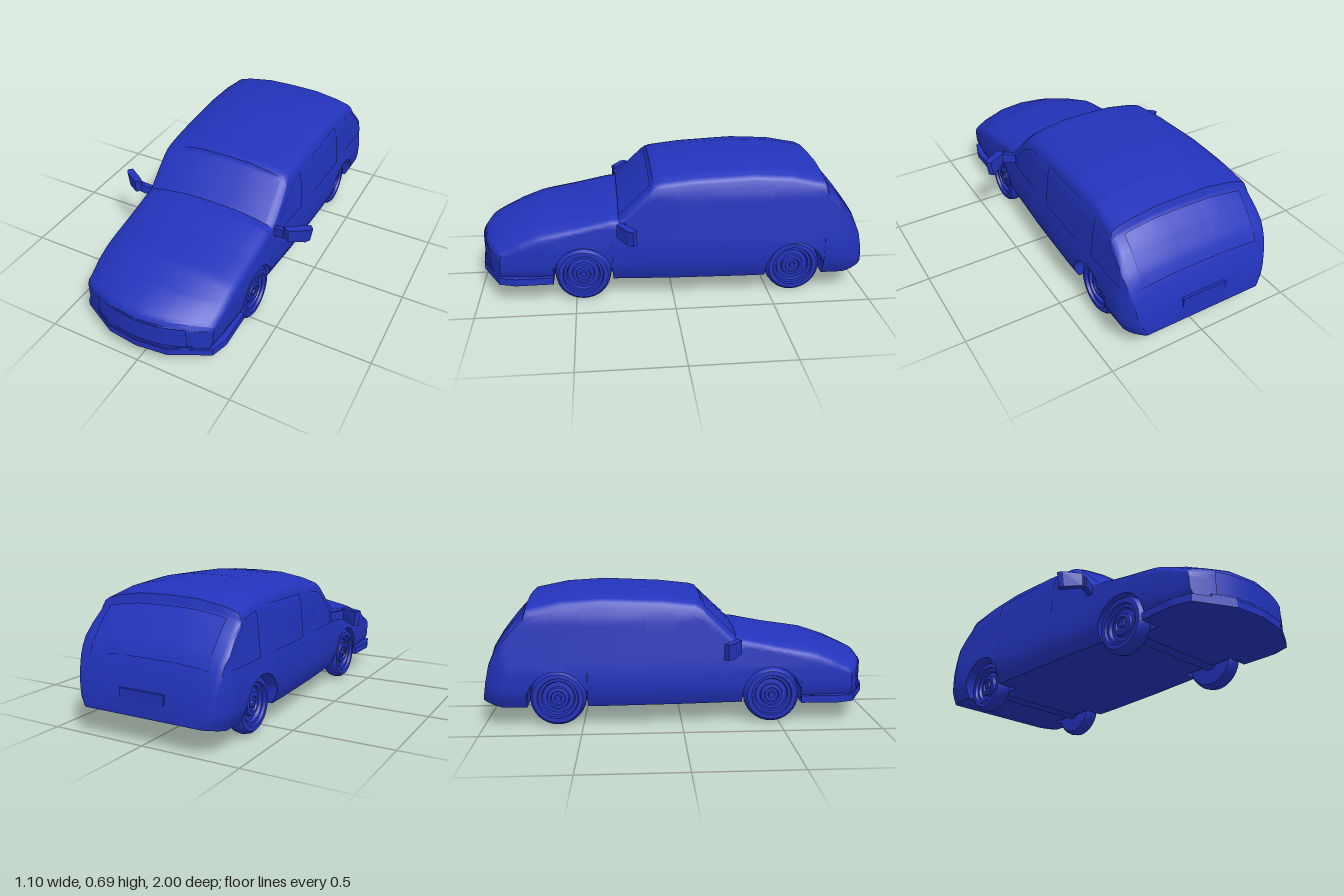
import * as THREE from 'three';
import { toCreasedNormals } from 'three/addons/utils/BufferGeometryUtils.js';

const paint = new THREE.MeshStandardMaterial({ color: 0x2233bb });
const glassPaint = new THREE.MeshStandardMaterial({ color: 0x2233bb, side: THREE.DoubleSide });

const WHEEL_Z = [0.46, -0.625], WHEEL_Y = 0.143, ARCH_R = 0.15;

// Piecewise-linear lookup; the table runs in ascending key order
function lookup(table, k) {
  if (k <= table[0][0]) return table[0][1];
  for (let i = 1; i < table.length; i++) {
    const [k0, v0] = table[i - 1], [k1, v1] = table[i];
    if (k <= k1) return v0 + (v1 - v0) * (k - k0) / (k1 - k0);
  }
  return table[table.length - 1][1];
}

// Body curves along z: centreline height, half width, crown depth and underside
const HEIGHT = [[-1, 0.16], [-0.98, 0.26], [-0.96, 0.35], [-0.92, 0.44], [-0.85, 0.53], [-0.785, 0.6],
  [-0.77, 0.643], [-0.6, 0.678], [-0.4, 0.69], [-0.1, 0.677], [0.07, 0.658], [0.1, 0.648], [0.107, 0.63],
  [0.275, 0.47], [0.32, 0.469], [0.5, 0.437], [0.7, 0.408], [0.85, 0.36], [0.95, 0.315], [0.975, 0.295], [0.985, 0.27]];
const WIDTH = [[-1, 0.335], [-0.98, 0.36], [-0.94, 0.39], [-0.89, 0.41], [-0.35, 0.408], [0, 0.395], [0.28, 0.375],
  [0.6, 0.37], [0.85, 0.362], [0.985, 0.35]];
const CROWN = [[-1, 0.015], [-0.96, 0.035], [-0.8, 0.055], [-0.77, 0.07], [0.1, 0.07], [0.107, 0.055],
  [0.3, 0.06], [0.7, 0.08], [0.95, 0.05], [0.985, 0.03]];
const UNDER = [[-1, 0.13], [-0.9, 0.105], [1, 0.105]];
// Side bulge by height, and crown shape across the top
const BULGE = [[0.1, 0.91], [0.17, 0.99], [0.22, 1], [0.29, 1], [0.38, 0.975], [0.46, 0.955], [0.55, 0.935], [0.62, 0.88]];
const ARC = [[0, 1], [0.4, 0.95], [0.75, 0.65], [0.93, 0.38], [0.985, 0.16], [1, 0]];

const sideX = (y, z) => lookup(WIDTH, z) * lookup(BULGE, y);
const shoulderY = (z) => lookup(HEIGHT, z) - lookup(CROWN, z);
const topY = (x, z) => shoulderY(z) + lookup(CROWN, z) * lookup(ARC, Math.abs(x) / sideX(shoulderY(z), z));
const bowedZ = (x, z) => z - 0.9 * x * x * THREE.MathUtils.smoothstep(z, 0.62, 0.98);

function lowerEdge(z) {
  for (const c of WHEEL_Z) {
    const d = z - c;
    if (Math.abs(d) < ARCH_R) return WHEEL_Y + Math.sqrt(ARCH_R * ARCH_R - d * d);
  }
  return lookup(UNDER, z);
}

// Closed cross-section: floor, wheel well, side, crown, then mirrored
function section(z, scale = 1) {
  const floor = lookup(UNDER, z), low = lowerEdge(z), top = shoulderY(z);
  const half = [[0, floor], [0.265, floor], [0.265, low]];
  for (let i = 0; i <= 12; i++) {
    const y = low + (top - low) * i / 12;
    half.push([sideX(y, z), y]);
  }
  const edge = sideX(top, z);
  for (const [f] of ARC.slice(1, -1).reverse()) half.push([f * edge, topY(f * edge, z)]);
  half.push([0, topY(0, z)]);
  const mirrored = half.slice(1, -1).reverse().map(([x, y]) => [-x, y]);
  return half.concat(mirrored).map(([x, y]) => [x * scale, y, bowedZ(x * scale, z)]);
}

function loft(rings) {
  const n = rings[0].length, index = [];
  for (let i = 0; i < rings.length - 1; i++) for (let j = 0; j < n; j++) {
    const a = i * n + j, b = i * n + (j + 1) % n;
    index.push(a, a + n, b, b, a + n, b + n);
  }
  const g = new THREE.BufferGeometry();
  g.setAttribute('position', new THREE.Float32BufferAttribute(rings.flat(2), 3));
  g.setIndex(index);
  return toCreasedNormals(g, 0.6);
}

// Panel that lies on the body: at(u, v) returns a point
function panel(at, nu = 12, nv = 8) {
  const g = new THREE.PlaneGeometry(1, 1, nu, nv), p = g.attributes.position;
  for (let i = 0; i < p.count; i++) p.setXYZ(i, ...at(p.getX(i) + 0.5, p.getY(i) + 0.5));
  g.computeVertexNormals();
  return g;
}

function extrudeUp(points, y, height) {
  const shape = new THREE.Shape(points.map(([x, z]) => new THREE.Vector2(x, -z)));
  const g = new THREE.ExtrudeGeometry(shape, { depth: height, bevelEnabled: false });
  return g.rotateX(-Math.PI / 2).translate(0, y, 0);
}

export function createModel() {
  const car = new THREE.Group();
  car.name = 'car';
  const add = (name, geometry, material = paint) => {
    const m = new THREE.Mesh(geometry, material);
    m.name = name;
    car.add(m);
    return m;
  };

  // Body shell with wheel arches
  const zs = [...HEIGHT, ...WIDTH].map(([z]) => z);
  for (let z = -0.9; z < 0.98; z += 0.06) zs.push(z);
  for (const c of WHEEL_Z) {
    zs.push(c - ARCH_R - 0.001, c + ARCH_R + 0.001);
    for (let i = 0; i <= 16; i++) zs.push(c + (ARCH_R - 1e-4) * Math.cos(Math.PI * i / 16));
  }
  const stations = [...new Set(zs)].sort((a, b) => b - a);
  const rings = [0, 0.25, 0.5, 0.75].map((s) => section(0.985, s));
  for (const z of stations) rings.push(section(z));
  rings.push(section(-1, 0.5), section(-1, 0));
  add('body', loft(rings));

  // Windscreen and rear window
  for (const [name, z0, z1] of [['windscreen', 0.272, 0.112], ['rearWindow', -0.945, -0.79]]) {
    add(name, panel((u, v) => {
      const x = (u - 0.5) * 0.64, z = z0 + (z1 - z0) * v;
      return [x, topY(x, z) + 0.005, z + Math.sign(z) * 0.003];
    }), glassPaint);
  }

  // Side windows: z range, sill height and top edge
  const windows = [
    ['frontSideWindow', -0.03, 0.21, [[-0.03, 0.583], [0.03, 0.573], [0.1, 0.54], [0.21, 0.43]]],
    ['middleSideWindow', -0.5, -0.18, [[-0.5, 0.598], [-0.18, 0.59]]],
    ['rearSideWindow', -0.9, -0.64, [[-0.9, 0.375], [-0.85, 0.46], [-0.75, 0.565], [-0.64, 0.585]]],
  ];
  for (const s of [1, -1]) for (const [name, z0, z1, top] of windows) {
    add(name, panel((u, v) => {
      const z = z0 + (z1 - z0) * u, y = 0.372 + (lookup(top, z) - 0.372) * v;
      return [s * (sideX(y, z) + 0.004), y, z];
    }), glassPaint);
  }

  // Grille panel and front bumper lip
  add('grille', panel((u, v) => {
    const x = (u - 0.5) * 0.49;
    return [x, 0.155 + v * 0.112, bowedZ(x, 0.985) + 0.006];
  }), glassPaint);
  const lip = [[0.375, 0.612], [0.378, 0.8], [0.352, 0.885], [0.16, 0.982], [0, 1]];
  const outline = lip.concat(lip.slice(0, -1).reverse().map(([x, z]) => [-x, z]));
  add('frontBumper', extrudeUp(outline, 0.103, 0.037));
  const step = [[0.265, 0.9], [0.265, 0.928], [0.16, 0.978], [0, 0.995], [-0.16, 0.978], [-0.265, 0.928], [-0.265, 0.9]];
  add('bumperStep', extrudeUp(step, 0.135, 0.018));

  // Blank plate on the tailgate
  add('rearPlate', new THREE.BoxGeometry(0.24, 0.05, 0.02)).position.set(0, 0.225, -0.985);

  // Door mirrors: tapered head on a short arm
  for (const s of [1, -1]) {
    const flip = (pts) => pts.map(([x, z]) => [s * x, z]);
    const head = extrudeUp(flip([[0.415, 0.27], [0.45, 0.288], [0.535, 0.237], [0.55, 0.212], [0.53, 0.192], [0.45, 0.242]]), 0.37, 0.08);
    const p = head.attributes.position;
    for (let i = 0; i < p.count; i++) {
      const x = Math.abs(p.getX(i)), low = p.getY(i) < 0.4;
      if (low) p.setXYZ(i, s * (x > 0.5 ? x - 0.012 : x), x > 0.5 ? 0.37 : 0.39 - (x - 0.415) * 0.2, p.getZ(i));
    }
    head.computeVertexNormals();
    add('mirrorHead', head);
    const arm = extrudeUp(flip([[0.345, 0.235], [0.345, 0.262], [0.42, 0.283], [0.435, 0.255]]), 0.365, 0.05);
    const q = arm.attributes.position;
    for (let i = 0; i < q.count; i++) if (Math.abs(q.getX(i)) > 0.4) q.setY(i, q.getY(i) + 0.025);
    arm.computeVertexNormals();
    add('mirrorArm', arm);
  }

  // Wheels with stepped rims, and axles
  const profile = [[0, -0.042], [0.1, -0.042], [0.127, -0.04], [0.138, -0.026], [0.143, 0], [0.138, 0.028], [0.126, 0.041],
    [0.104, 0.042], [0.1, 0.028], [0.086, 0.028], [0.08, 0.012], [0.058, 0.014], [0.054, 0.03],
    [0.038, 0.032], [0.034, 0.024], [0.018, 0.024], [0.015, 0.034], [0, 0.034]];
  const wheel = toCreasedNormals(new THREE.LatheGeometry(profile.map(([r, h]) => new THREE.Vector2(r, h)), 32), 0.6);
  for (const z of WHEEL_Z) {
    for (const s of [1, -1]) {
      const w = add(z > 0 ? 'frontWheel' : 'rearWheel', wheel);
      w.rotation.z = -s * Math.PI / 2;
      w.position.set(s * 0.325, WHEEL_Y, z);
    }
    const axle = add('axle', new THREE.CylinderGeometry(0.05, 0.05, 0.6, 16));
    axle.rotation.z = Math.PI / 2;
    axle.position.set(0, WHEEL_Y, z);
  }
  return car;
}
